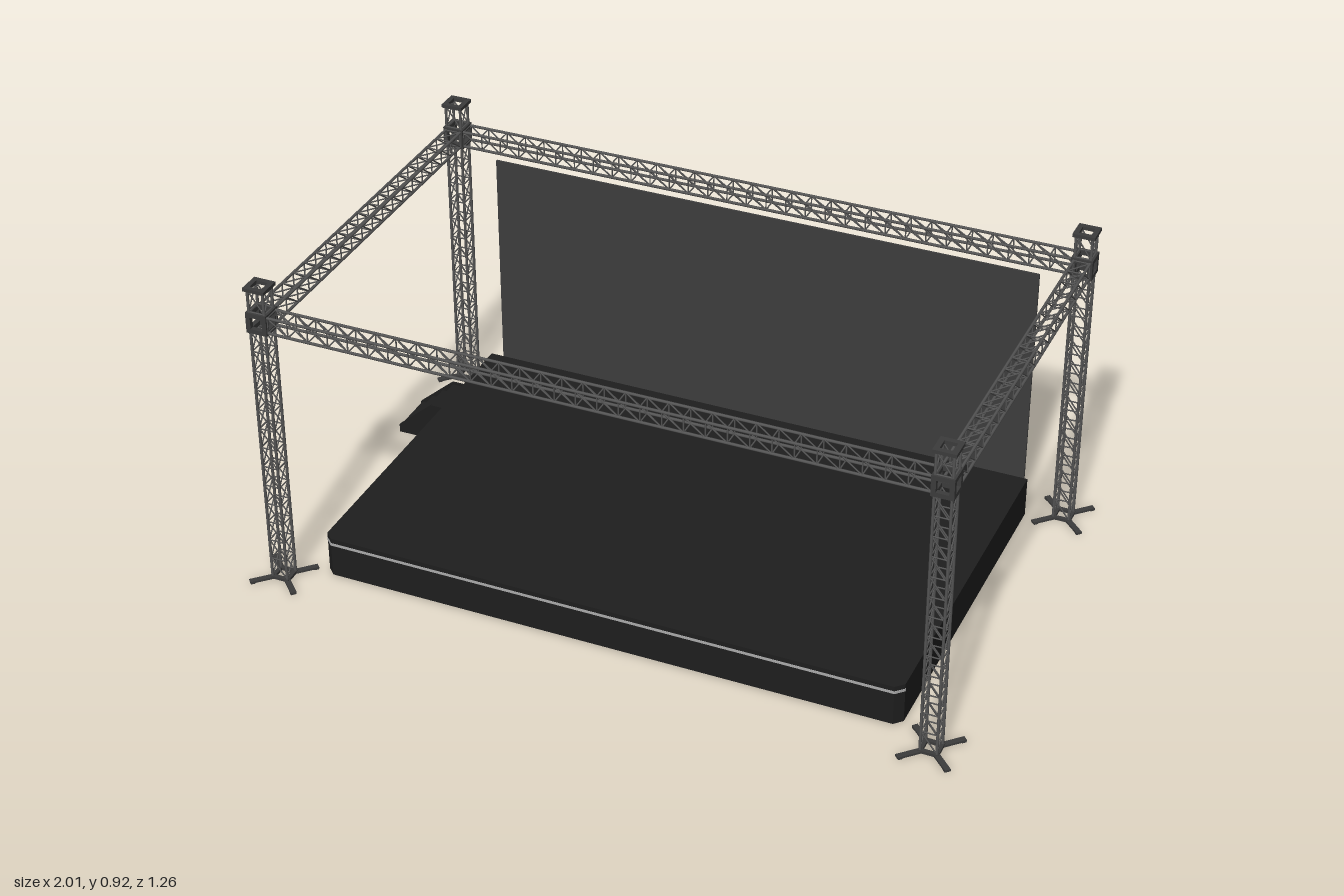
import * as THREE from 'three';
import { mergeGeometries } from 'three/addons/utils/BufferGeometryUtils.js';

const V = (x, y, z) => new THREE.Vector3(x, y, z);
const mat = (color) => new THREE.MeshStandardMaterial({ color });
const X = V(1, 0, 0), Y = V(0, 1, 0), Z = V(0, 0, 1);
const DOWN = V(0, -1, 0), LEFTWARD = V(-1, 0, 0), BACK = V(0, 0, -1);

const TX = 0.93, TZ = 0.555;      // tower centres
const BEAM_Y = 0.815, HALF = 0.0225; // beam height, half width between chords
const NODE = 0.03;                // half size of a corner block

function strut(p, q, r) {
  const d = q.clone().sub(p);
  const g = new THREE.CylinderGeometry(r, r, d.length(), 6);
  g.applyQuaternion(new THREE.Quaternion().setFromUnitVectors(Y, d.normalize()));
  return g.translate((p.x + q.x) / 2, (p.y + q.y) / 2, (p.z + q.z) / 2);
}

function box(w, h, d, x, y, z) {
  return new THREE.BoxGeometry(w, h, d).translate(x, y, z);
}

// Square lattice truss: four chords, rungs and one diagonal per panel face
function truss(start, axis, length, v, w) {
  const at = (t, a, b) => start.clone().addScaledVector(axis, t)
    .addScaledVector(v, a * HALF).addScaledVector(w, b * HALF);
  const corners = [[-1, -1], [1, -1], [1, 1], [-1, 1]];
  const panels = Math.max(1, Math.round(length / 0.058));
  const step = length / panels;
  const parts = [];
  corners.forEach((c, i) => {
    const n = corners[(i + 1) % 4];
    parts.push(strut(at(0, ...c), at(length, ...c), 0.004));
    // opposite faces lean the same way
    const [lo, hi] = i < 2 ? [c, n] : [n, c];
    for (let k = 0; k <= panels; k++) {
      parts.push(strut(at(k * step, ...c), at(k * step, ...n), 0.002));
      if (k < panels) parts.push(strut(at(k * step, ...lo), at((k + 1) * step, ...hi), 0.002));
    }
  });
  return mergeGeometries(parts);
}

// Open cube made of twelve square bars
function cubeFrame(half, t) {
  const parts = [], s = half - t / 2;
  for (const a of [-s, s]) for (const b of [-s, s]) {
    parts.push(box(2 * half, t, t, 0, a, b), box(t, 2 * half, t, a, 0, b), box(t, t, 2 * half, a, b, 0));
  }
  return mergeGeometries(parts);
}

function squareRing(half, t, h) {
  const s = half - t / 2, parts = [];
  for (const a of [-s, s]) parts.push(box(2 * half, h, t, 0, 0, a), box(t, h, 2 * half, a, 0, 0));
  return mergeGeometries(parts);
}

// Deck outline in (x, z) with chamfered front corners, extruded upward
function deckLayer(y0, y1, back, grow = 0) {
  const w = 0.83 + grow, f = 0.502 + grow, c = 0.022;
  const s = new THREE.Shape([[-w, back], [w, back], [w, f - c], [w - c, f], [-w + c, f], [-w, f - c]]
    .map(([x, z]) => new THREE.Vector2(x, -z)));
  return new THREE.ExtrudeGeometry(s, { depth: y1 - y0, bevelEnabled: false })
    .rotateX(-Math.PI / 2).translate(0, y0, 0);
}

export function createModel() {
  const root = new THREE.Group();
  const metal = mat(0x565656), dark = mat(0x3c3c3c), black = mat(0x1e1e1e);
  const pale = mat(0xaaaaaa), screenMat = mat(0x3d3d3d);
  const add = (name, geo, m, parent = root) => {
    const mesh = new THREE.Mesh(geo, m);
    mesh.name = name;
    parent.add(mesh);
    return mesh;
  };

  // Corner towers with feet, corner blocks and top plates
  for (const sx of [-1, 1]) for (const sz of [-1, 1]) {
    const tower = new THREE.Group();
    tower.name = 'tower';
    tower.position.set(sx * TX, 0, sz * TZ);
    root.add(tower);
    add('towerLattice', truss(V(0, 0.008, 0), Y, BEAM_Y - NODE - 0.008, LEFTWARD, BACK), metal, tower);
    add('towerTop', truss(V(0, BEAM_Y + NODE, 0), Y, 0.91 - BEAM_Y - NODE, LEFTWARD, BACK), metal, tower);
    add('cornerBlock', cubeFrame(NODE, 0.013), dark, tower).position.y = BEAM_Y;
    add('topPlate', squareRing(0.031, 0.014, 0.01), dark, tower).position.y = 0.913;
    const foot = [squareRing(0.028, 0.012, 0.008).translate(0, 0.006, 0)];
    for (let i = 0; i < 4; i++) {
      const arm = box(0.066, 0.006, 0.016, 0.063, 0.005, 0);
      foot.push(mergeGeometries([arm, box(0.012, 0.003, 0.016, 0.089, 0.0015, 0)])
        .rotateY(Math.PI / 4 + i * Math.PI / 2));
    }
    add('foot', mergeGeometries(foot), dark, tower);
  }

  // Roof beams between the corner blocks
  for (const s of [-1, 1]) {
    add('longBeam', truss(V(-TX + NODE, BEAM_Y, s * TZ), X, 2 * (TX - NODE), DOWN, Z), metal);
    add('sideBeam', truss(V(s * TX, BEAM_Y, TZ - NODE), BACK, 2 * (TZ - NODE), DOWN, X), metal);
  }

  // Stage deck with a pale strip along its front edge
  add('deck', deckLayer(0.003, 0.122, -0.518), black);
  add('frontStrip', deckLayer(0.1, 0.108, 0.478, 0.001), pale);

  // Rear screen and its hanging bar
  add('screen', box(1.62, 0.755, 0.006, 0, 0.3775, -0.557), screenMat);
  add('hangingBar', strut(V(-0.77, 0.775, -0.557), V(0.77, 0.775, -0.557), 0.002), metal);

  // Side stairs: two stringers and open treads
  const stairs = new THREE.Group();
  stairs.name = 'stairs';
  root.add(stairs);
  const side = new THREE.Shape([[-0.975, 0], [-0.83, 0], [-0.83, 0.118], [-0.868, 0.118], [-0.975, 0.025]]
    .map(([x, y]) => new THREE.Vector2(x, y)));
  for (const z of [-0.34, -0.206]) {
    const g = new THREE.ExtrudeGeometry(side, { depth: 0.006, bevelEnabled: false });
    add('stringer', g.translate(0, 0, z), black, stairs);
  }
  for (let i = 0; i < 4; i++) {
    add('tread', box(0.034, 0.006, 0.13, -0.953 + i * 0.035, 0.022 + i * 0.029, -0.27), black, stairs);
  }
  return root;
}
